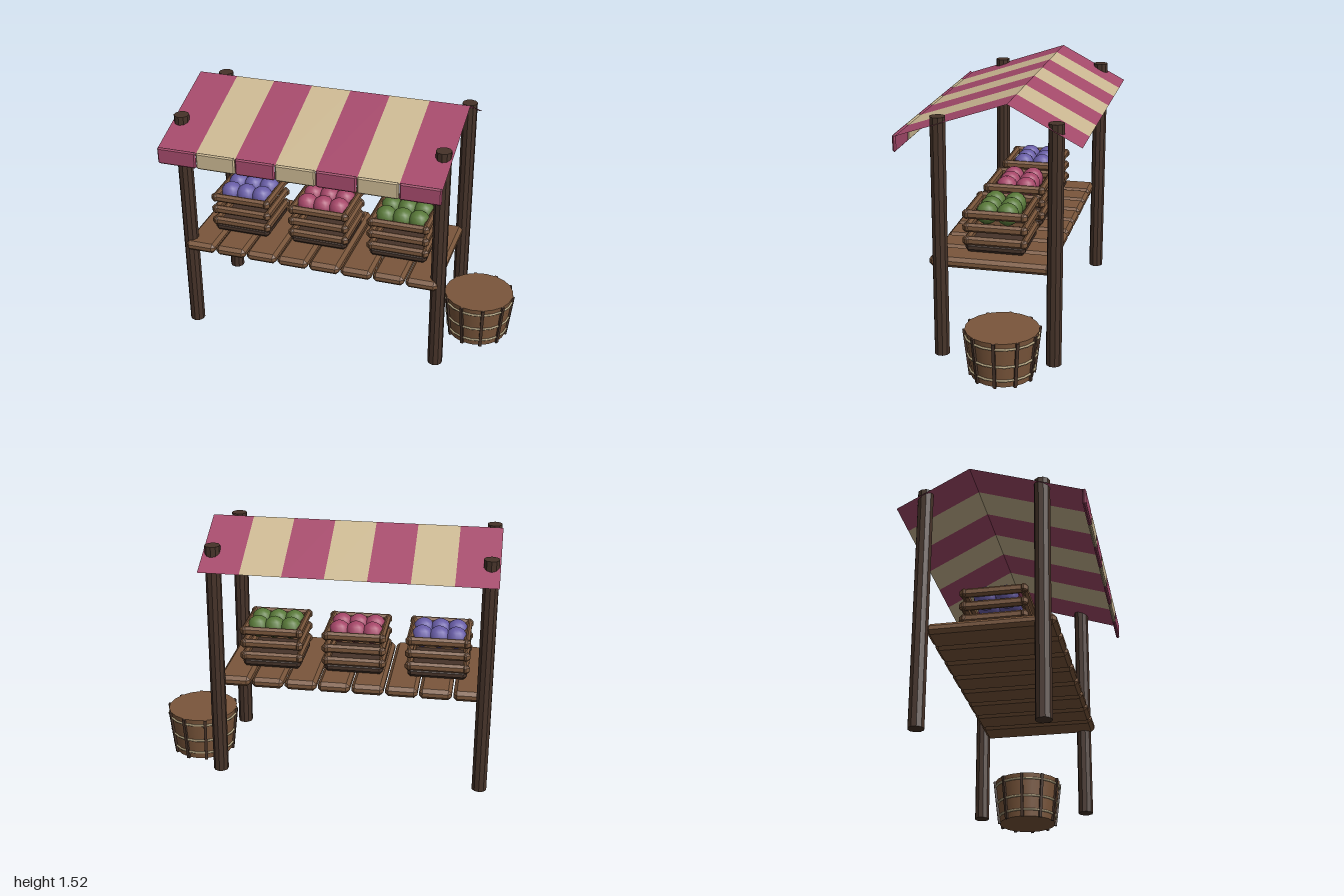
import * as THREE from 'three';
import { ConvexGeometry } from 'three/addons/geometries/ConvexGeometry.js';

const mat = (name, color, opts = {}) => {
  const m = new THREE.MeshStandardMaterial({ color, ...opts });
  m.name = name;
  return m;
};

// Box with every edge cut off at 45 degrees
function chamferBox(w, h, d, c) {
  const points = [];
  for (const x of [-1, 1]) for (const y of [-1, 1]) for (const z of [-1, 1]) {
    const a = x * w / 2, b = y * h / 2, e = z * d / 2;
    points.push(
      new THREE.Vector3(a, b - y * c, e - z * c),
      new THREE.Vector3(a - x * c, b, e - z * c),
      new THREE.Vector3(a - x * c, b - y * c, e));
  }
  return new ConvexGeometry(points);
}

export function createModel() {
  const model = new THREE.Group();
  model.name = 'marketStall';

  const wood = mat('wood', 0x7a563b);
  const darkWood = mat('darkWood', 0x463329);
  const hoopCord = mat('hoopCord', 0xb5a582);
  const redCloth = mat('redCloth', 0xa54a6b, { side: THREE.DoubleSide });
  const creamCloth = mat('creamCloth', 0xcbb892, { side: THREE.DoubleSide });
  const pinkFruit = mat('pinkFruit', 0xa54668);
  const purpleFruit = mat('purpleFruit', 0x685da6);
  const greenFruit = mat('greenFruit', 0x587838);

  const add = (parent, name, geometry, material, x = 0, y = 0, z = 0) => {
    const mesh = new THREE.Mesh(geometry, material);
    mesh.name = name;
    mesh.position.set(x, y, z);
    parent.add(mesh);
    return mesh;
  };

  // Four posts
  const postGeo = new THREE.CylinderGeometry(0.045, 0.045, 1.42, 10).toNonIndexed();
  postGeo.computeVertexNormals();
  for (const x of [-0.95, 0.607]) for (const z of [0.28, -0.38])
    add(model, 'post', postGeo, darkWood, x, 0.71, z);

  // Table planks
  const plankGeo = chamferBox(0.188, 0.062, 0.7, 0.02);
  for (let i = 0; i < 8; i++)
    add(model, 'tablePlank', plankGeo, wood, -0.868 + i * 0.198, 0.566, 0);

  // Striped canopy: one sheet per stripe and slope, plus hanging valance
  const canopy = new THREE.Group();
  canopy.name = 'canopy';
  model.add(canopy);
  const stripe = 1.66 / 7;
  const slope = (x0, x1, [y0, z0], [y1, z1]) => {
    const p = [[x0, y0, z0], [x1, y0, z0], [x1, y1, z1], [x0, y1, z1]].map(v => new THREE.Vector3(...v));
    const g = new THREE.BufferGeometry().setFromPoints([p[0], p[1], p[2], p[0], p[2], p[3]]);
    g.computeVertexNormals();
    return g;
  };
  const front = [1.305, 0.515], ridge = [1.52, -0.12], back = [1.305, -0.53];
  const valanceGeo = chamferBox(stripe - 0.003, 0.1, 0.02, 0.008);
  for (let i = 0; i < 7; i++) {
    const x0 = -1 + i * stripe, x1 = x0 + stripe;
    const cloth = i % 2 ? creamCloth : redCloth;
    add(canopy, 'frontSlope', slope(x0, x1, front, ridge), cloth);
    add(canopy, 'backSlope', slope(x0, x1, ridge, back), cloth);
    add(canopy, 'valance', valanceGeo, cloth, x0 + stripe / 2, 1.265, 0.517);
  }

  // Slatted crates of fruit
  const slatGeo = chamferBox(0.38, 0.052, 0.036, 0.014);
  const trayGeo = chamferBox(0.35, 0.06, 0.35, 0.02);
  const fruitGeo = new THREE.SphereGeometry(0.066, 12, 8);
  const crate = (x, fruit) => {
    const g = new THREE.Group();
    g.name = 'crate';
    g.position.set(x, 0, -0.01);
    model.add(g);
    add(g, 'crateBase', trayGeo, darkWood, 0, 0.626, 0);
    for (const y of [0.667, 0.746, 0.826]) for (const s of [-1, 1]) {
      add(g, 'crateSlat', slatGeo, wood, 0, y, s * 0.165);
      add(g, 'crateSideSlat', slatGeo, wood, s * 0.165, y, 0).rotation.y = Math.PI / 2;
    }
    for (const fx of [-0.1, 0, 0.1]) for (const fz of [-0.06, 0.06])
      add(g, 'fruit', fruitGeo, fruit, fx, 0.819, fz);
  };
  crate(-0.665, purpleFruit);
  crate(-0.17, pinkFruit);
  crate(0.325, greenFruit);

  // Basket with upright ribs and three hoops
  const basket = new THREE.Group();
  basket.name = 'basket';
  basket.position.set(0.78, 0, -0.12);
  model.add(basket);
  const bottomR = 0.178, topR = 0.21, height = 0.275;
  add(basket, 'basketBody', new THREE.CylinderGeometry(topR, bottomR, height, 20), wood, 0, height / 2 + 0.005, 0);
  const ribGeo = new THREE.BoxGeometry(0.016, 0.28, 0.018);
  for (let i = 0; i < 10; i++) {
    const arm = new THREE.Group();
    arm.name = 'basketRib';
    arm.rotation.y = i * Math.PI / 5;
    basket.add(arm);
    add(arm, 'rib', ribGeo, darkWood, (bottomR + topR) / 2 + 0.003, 0.14, 0)
      .rotation.z = -Math.atan((topR - bottomR) / height);
  }
  for (const y of [0.047, 0.135, 0.245]) {
    const r = bottomR + (topR - bottomR) * y / height;
    add(basket, 'hoop', new THREE.TorusGeometry(r + 0.002, 0.007, 6, 20), hoopCord, 0, y, 0)
      .rotation.x = Math.PI / 2;
  }

  return model;
}
